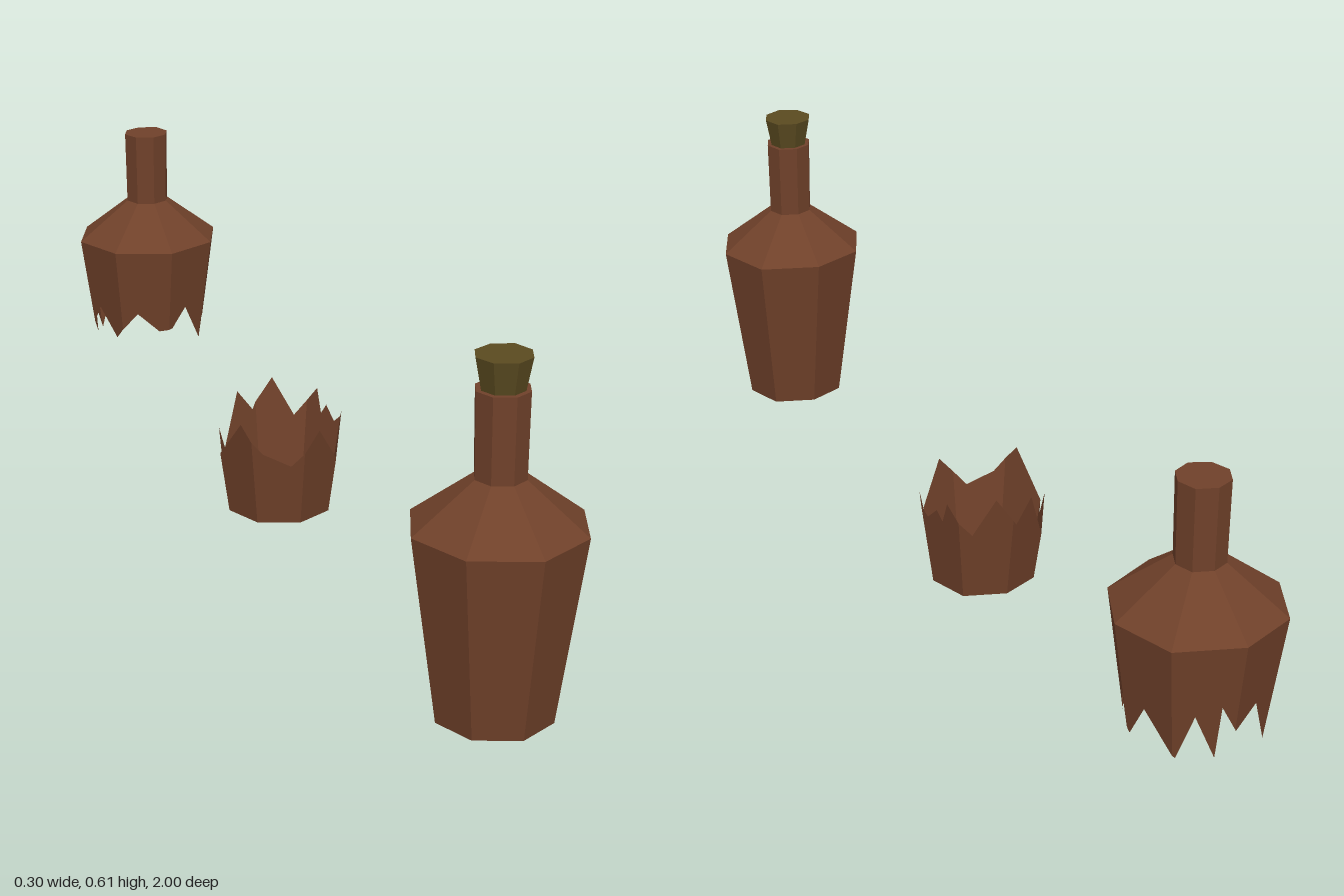
import * as THREE from 'three';

const glass = new THREE.MeshStandardMaterial({ color: 0x70412a, flatShading: true, side: THREE.DoubleSide });
const corkMaterial = new THREE.MeshStandardMaterial({ color: 0x5a4a20, flatShading: true });

const SIDES = 8;
const BASE_Y = 0.005, BASE_R = 0.104;
const SHOULDER_Y = 0.33, SHOULDER_R = 0.152;
// slight hand-made unevenness of the eight corners, counted from +z towards +x
const UNEVEN = [1.02, 0.97, 0.98, 1.05, 0.99, 0.97, 0.99, 1.02];

const TOP_PROFILE = [[SHOULDER_R, SHOULDER_Y], [0.045, 0.41], [0.047, 0.555], [0, 0.555]];

// point on the tapering eight-sided wall at an angle (degrees) and height
function wallPoint(deg, y) {
  const t = (((deg % 360) + 360) % 360) / 45;
  const k = Math.floor(t) % SIDES;
  const corner = (i) => {
    const a = (i * Math.PI) / 4;
    return new THREE.Vector2(Math.sin(a), Math.cos(a)).multiplyScalar(UNEVEN[i % SIDES]);
  };
  const a = corner(k), b = corner(k + 1);
  // where the ray at this angle crosses the flat side
  const dir = new THREE.Vector2(Math.sin((t * Math.PI) / 4), Math.cos((t * Math.PI) / 4));
  const edge = b.clone().sub(a);
  const s = a.cross(edge) / dir.cross(edge);
  const r = THREE.MathUtils.mapLinear(y, BASE_Y, SHOULDER_Y, BASE_R, SHOULDER_R);
  return [dir.x * s * r, y, dir.y * s * r];
}

// eight-sided turned shape with the shared uneven corners
function turned(name, profile, material) {
  const geo = new THREE.LatheGeometry(profile.map(([r, y]) => new THREE.Vector2(r, y)), SIDES);
  const p = geo.attributes.position;
  for (let i = 0; i < p.count; i++) {
    const f = UNEVEN[Math.floor(i / profile.length) % SIDES];
    p.setX(i, p.getX(i) * f);
    p.setZ(i, p.getZ(i) * f);
  }
  geo.computeVertexNormals();
  const mesh = new THREE.Mesh(geo, material);
  mesh.name = name;
  return mesh;
}

// wall between a straight ring and a jagged edge given as [degrees, height]
function jaggedWall(name, jag, ringY) {
  const n = jag.length;
  const loop = [...jag, [jag[0][0] + 360, jag[0][1]]];
  const pts = [];
  for (let i = 0; i < n; i++) {
    const [a0, y0] = loop[i], [a1, y1] = loop[i + 1];
    pts.push([a0, y0]);
    // add the wall corners that lie between two jags
    for (let c = Math.floor(a0 / 45) * 45 + 45; c < a1; c += 45) {
      pts.push([c, THREE.MathUtils.mapLinear(c, a0, a1, y0, y1)]);
    }
  }
  pts.push(loop[n]);
  const verts = [], index = [];
  pts.forEach(([deg, y], i) => {
    verts.push(...wallPoint(deg, Math.min(y, ringY)), ...wallPoint(deg, Math.max(y, ringY)));
    if (i < pts.length - 1) {
      const a = i * 2;
      index.push(a, a + 2, a + 1, a + 2, a + 3, a + 1);
    }
  });
  const geo = new THREE.BufferGeometry();
  geo.setAttribute('position', new THREE.Float32BufferAttribute(verts, 3));
  geo.setIndex(index);
  geo.computeVertexNormals();
  const mesh = new THREE.Mesh(geo, glass);
  mesh.name = name;
  return mesh;
}

function groupAt(name, z, ...parts) {
  const g = new THREE.Group();
  g.name = name;
  g.position.z = z;
  g.add(...parts);
  return g;
}

export function createModel() {
  const model = new THREE.Group();
  model.name = 'bottles';

  // whole bottle with its stopper
  model.add(groupAt('wholeBottle', 0.84,
    turned('bottleBody', [[0, BASE_Y], [BASE_R, BASE_Y], ...TOP_PROFILE], glass),
    turned('cork', [[0, 0.55], [0.037, 0.55], [0.049, 0.61], [0, 0.61]], corkMaterial)));

  // broken-off base, its teeth pointing up
  const baseJag = [
    [-56, 0.205], [-36, 0.15], [-11, 0.125], [16, 0.19], [47, 0.11], [80, 0.185],
    [97, 0.15], [110, 0.175], [116, 0.155], [124, 0.2], [145, 0.14], [165, 0.215],
    [184, 0.155], [201, 0.2], [225, 0.1], [249, 0.16], [262, 0.105],
  ];
  model.add(groupAt('brokenBase', -0.085,
    turned('baseFloor', [[0, BASE_Y], [BASE_R, BASE_Y]], glass),
    jaggedWall('baseWall', baseJag, BASE_Y)));

  // broken-off top, its teeth pointing down
  const topJag = [
    [-9, 0.15], [4, 0.155], [20, 0.196], [46, 0.11], [78, 0.19], [92, 0.125],
    [110, 0.19], [137, 0.12], [150, 0.2], [167, 0.115], [169, 0.215], [181, 0.165],
    [203, 0.196], [225, 0.105], [248, 0.17], [261, 0.12], [283, 0.19], [305, 0.13], [330, 0.19],
  ];
  model.add(groupAt('brokenTop', -0.85,
    turned('shoulderAndNeck', TOP_PROFILE, glass),
    jaggedWall('topWall', topJag, SHOULDER_Y)));

  return model;
}
